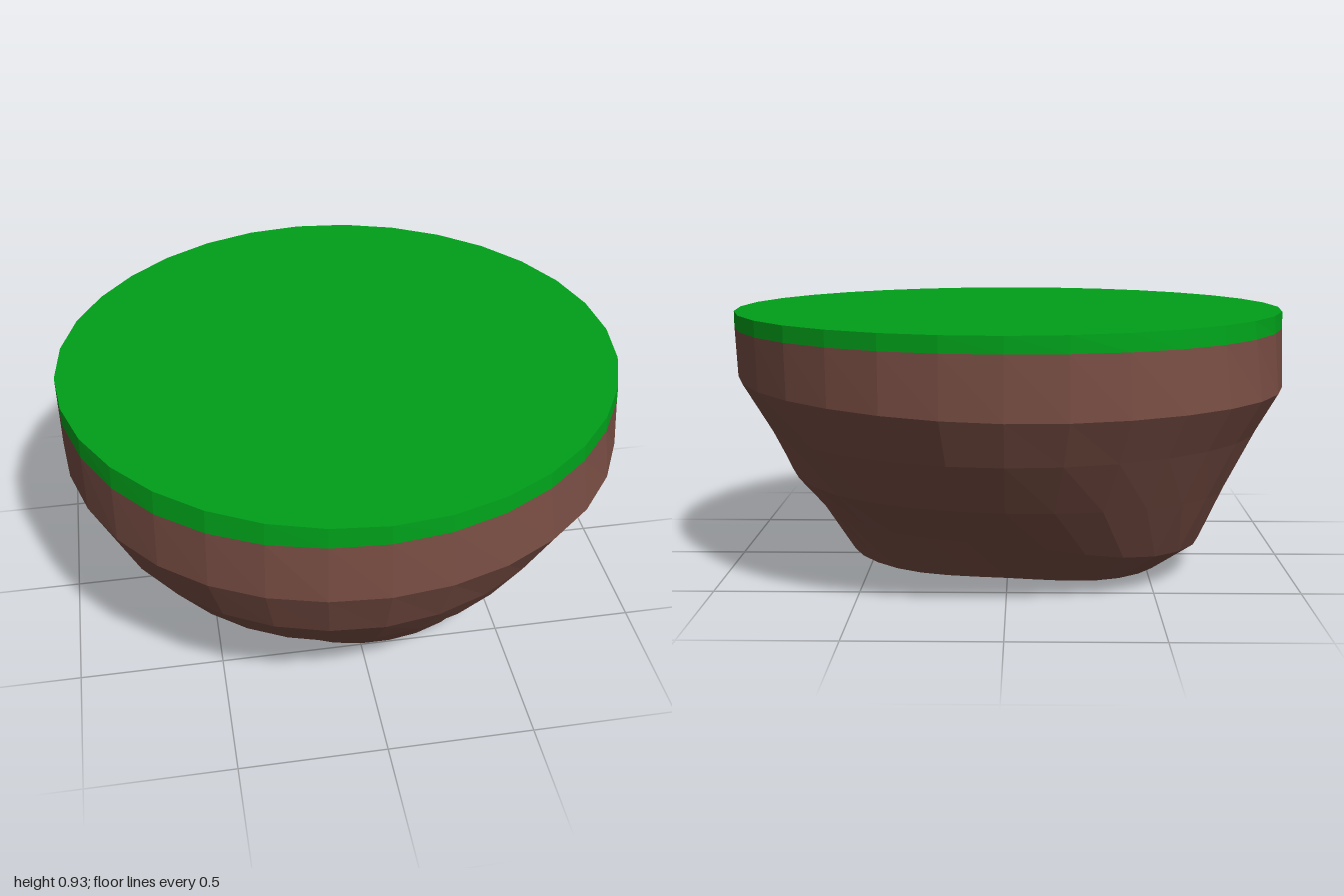
import * as THREE from 'three';

const SEGMENTS = 32;

// Each ring: radius (r) and height (y) at eight compass directions,
// from +x round through +z, -x and -z.
const TOP = {
  r: [0.98, 0.96, 0.97, 0.97, 0.98, 0.97, 0.995, 0.99],
  y: [0.93, 0.93, 0.93, 0.93, 0.93, 0.93, 0.93, 0.93],
};
const TURF_EDGE = {
  r: [0.98, 0.965, 0.975, 0.975, 0.98, 0.98, 0.995, 0.99],
  y: [0.875, 0.875, 0.865, 0.845, 0.87, 0.87, 0.875, 0.875],
};
const SHOULDER = {
  r: [0.975, 0.995, 0.995, 0.98, 0.98, 1.01, 1.0, 0.985],
  y: [0.70, 0.69, 0.67, 0.64, 0.66, 0.67, 0.67, 0.69],
};
const BELLY = {
  r: [0.87, 0.88, 0.91, 0.90, 0.90, 0.92, 0.92, 0.89],
  y: [0.53, 0.50, 0.47, 0.46, 0.51, 0.52, 0.52, 0.52],
};
const WAIST = {
  r: [0.79, 0.77, 0.76, 0.75, 0.78, 0.82, 0.80, 0.79],
  y: [0.35, 0.31, 0.28, 0.26, 0.28, 0.33, 0.35, 0.35],
};
const FOOT = {
  r: [0.70, 0.67, 0.66, 0.64, 0.70, 0.71, 0.66, 0.67],
  y: [0.24, 0.20, 0.17, 0.18, 0.11, 0.13, 0.21, 0.22],
};
const BASE = {
  r: [0.58, 0.56, 0.51, 0.49, 0.56, 0.55, 0.51, 0.54],
  y: [0.045, 0.025, 0.015, 0.02, 0.0, 0.02, 0.055, 0.05],
};

// Smooth periodic interpolation through the eight samples
function sample(values, t) {
  const n = values.length, i = Math.floor(t), f = t - i;
  const [a, b, c, d] = [-1, 0, 1, 2].map((k) => values[(i + k + n) % n]);
  return b + 0.5 * f * (c - a + f * (2 * a - 5 * b + 4 * c - d + f * (3 * (b - c) + d - a)));
}

function ringPoints({ r, y }) {
  return Array.from({ length: SEGMENTS }, (_, j) => {
    const t = (j / SEGMENTS) * 8, a = (j / SEGMENTS) * Math.PI * 2;
    const radius = sample(r, t);
    return [radius * Math.cos(a), Math.max(0, sample(y, t)), radius * Math.sin(a)];
  });
}

// Skin rings from bottom to top, optionally closing either end with a fan
function loft(rings, capBottom, capTop) {
  const loops = rings.map(ringPoints), pos = [];
  const tri = (...corners) => corners.forEach((p) => pos.push(...p));
  const centre = (loop) => [0, loop.reduce((s, p) => s + p[1], 0) / SEGMENTS, 0];
  const first = loops[0], last = loops[loops.length - 1];
  for (let j = 0; j < SEGMENTS; j++) {
    const k = (j + 1) % SEGMENTS;
    for (let i = 0; i < loops.length - 1; i++) {
      const lo = loops[i], hi = loops[i + 1];
      tri(lo[j], hi[j], hi[k]);
      tri(lo[j], hi[k], lo[k]);
    }
    if (capBottom) tri(centre(first), first[j], first[k]);
    if (capTop) tri(centre(last), last[k], last[j]);
  }
  const geometry = new THREE.BufferGeometry();
  geometry.setAttribute('position', new THREE.Float32BufferAttribute(pos, 3));
  geometry.computeVertexNormals();
  return geometry;
}

function part(name, geometry, color) {
  const mesh = new THREE.Mesh(geometry, new THREE.MeshStandardMaterial({ color, flatShading: true }));
  mesh.name = name;
  return mesh;
}

export function createModel() {
  const group = new THREE.Group();
  group.name = 'islandChunk';
  // Rocky earth tapering to an uneven base
  group.add(part('earth', loft([BASE, FOOT, WAIST, BELLY, SHOULDER, TURF_EDGE], true, false), 0x764c42));
  // Flat turf layer
  group.add(part('grass', loft([TURF_EDGE, TOP], false, true), 0x009f1a));
  return group;
}
